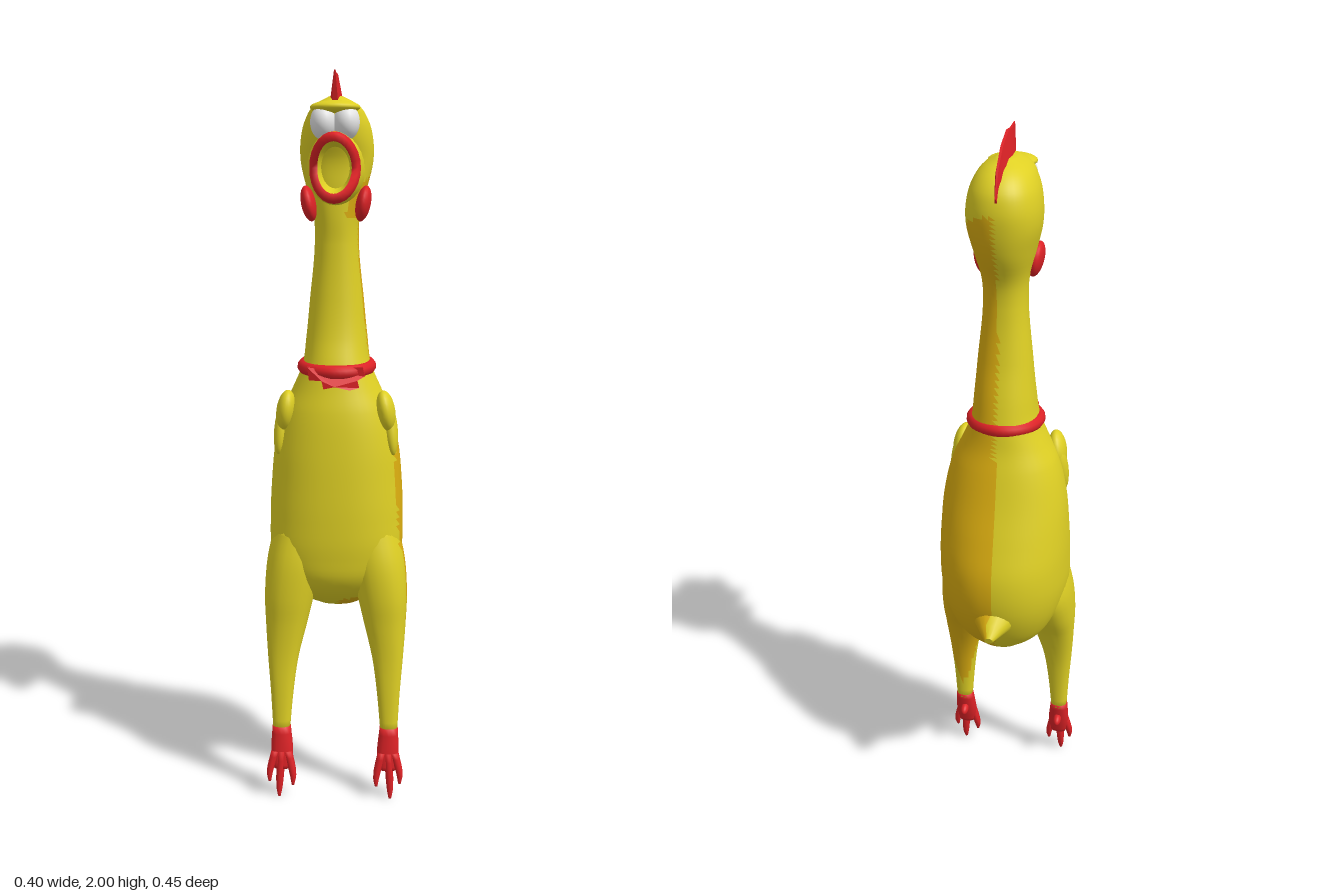
import * as THREE from 'three';
import { toCreasedNormals } from 'three/addons/utils/BufferGeometryUtils.js';

const colour = (name, hex) => {
  const m = new THREE.MeshStandardMaterial({ color: hex });
  m.name = name;
  return m;
};

// Skin a list of equal-length point rings, optionally closing both ends
function skin(rings, caps = true) {
  const n = rings[0].length, pos = [], idx = [];
  rings.flat().forEach(p => pos.push(p.x, p.y, p.z));
  for (let r = 0; r < rings.length - 1; r++) {
    for (let i = 0; i < n; i++) {
      const a = r * n + i, b = r * n + (i + 1) % n;
      idx.push(a, b, a + n, b, b + n, a + n);
    }
  }
  if (caps) {
    [0, rings.length - 1].forEach((r, end) => {
      const c = new THREE.Vector3();
      rings[r].forEach(p => c.addScaledVector(p, 1 / n));
      const k = pos.length / 3;
      pos.push(c.x, c.y, c.z);
      for (let i = 0; i < n; i++) {
        const a = r * n + i, b = r * n + (i + 1) % n;
        if (end) idx.push(a, b, k); else idx.push(b, a, k);
      }
    });
  }
  const g = new THREE.BufferGeometry();
  g.setAttribute('position', new THREE.Float32BufferAttribute(pos, 3));
  g.setIndex(idx);
  g.computeVertexNormals();
  return g;
}

// Smooth upright loft; each section is [y, centreX, halfWidth, zFront, zBack, zWidest]
function loft(sections, n = 32, steps = 4, power = 0.9) {
  const curve = new THREE.CubicInterpolant(
    sections.map(s => s[0]), sections.flatMap(s => s.slice(1)), 5, new Float32Array(5));
  const rings = [];
  const last = (sections.length - 1) * steps;
  for (let k = 0; k <= last; k++) {
    const j = Math.min(Math.floor(k / steps), sections.length - 2);
    const y = THREE.MathUtils.lerp(sections[j][0], sections[j + 1][0], k / steps - j);
    const [cx, hw, zf, zb, zc] = k === last ? sections[j + 1].slice(1) : Array.from(curve.evaluate(y));
    rings.push(Array.from({ length: n }, (_, i) => {
      const a = i / n * Math.PI * 2, s = Math.sin(a), c = Math.cos(a);
      const sx = Math.sign(s) * Math.abs(s) ** power, sz = Math.sign(c) * Math.abs(c) ** power;
      return new THREE.Vector3(cx + hw * sx, y, zc + (c > 0 ? zf - zc : zc - zb) * sz);
    }));
  }
  return skin(rings);
}

// The deeper yellow covers the back of the +x side
function isDeep(x, y, z) {
  if (x < 0.008) return false;
  if (y > 1.62) return z < 0.1 && y < 1.7 + (0.1 - z) * 0.55;
  if (y > 1.2) return z < 0.05;
  if (y > 0.95) return z < 0.1 - (y - 0.95) * 0.36;
  return z < (y > 0.62 ? 0.1 : 0.105);
}

// Sort the triangles into two material groups
function paint(g) {
  const p = g.attributes.position, src = g.index.array, lists = [[], []];
  for (let i = 0; i < src.length; i += 3) {
    const t = [src[i], src[i + 1], src[i + 2]];
    const mean = f => (f(t[0]) + f(t[1]) + f(t[2])) / 3;
    const deep = isDeep(mean(v => p.getX(v)), mean(v => p.getY(v)), mean(v => p.getZ(v)));
    lists[deep ? 1 : 0].push(...t);
  }
  g.setIndex([...lists[0], ...lists[1]]);
  g.clearGroups();
  g.addGroup(0, lists[0].length, 0);
  g.addGroup(lists[0].length, lists[1].length, 1);
  return g;
}

export function createModel() {
  const model = new THREE.Group();
  const yellow = colour('yellow', 0xdfd024);
  const deepYellow = colour('deep yellow', 0xdcae10);
  const red = colour('red', 0xdd2226);
  const white = colour('white', 0xe8e8e8);
  const skinTones = [yellow, deepYellow];

  const add = (name, geometry, material, parent = model) => {
    const m = new THREE.Mesh(geometry, material);
    m.name = name;
    parent.add(m);
    return m;
  };
  const blob = (name, material, p, r, rot = [0, 0, 0], parent = model) => {
    const m = add(name, new THREE.SphereGeometry(1, 20, 14), material, parent);
    m.position.set(...p);
    m.scale.set(...r);
    m.rotation.set(...rot);
    return m;
  };

  // Body, neck and head in one skin
  add('body', paint(loft([
    [0.53, 0, 0.06, 0.04, -0.08, -0.02],
    [0.56, 0, 0.11, 0.1, -0.11, 0],
    [0.62, 0, 0.155, 0.16, -0.15, 0.03],
    [0.7, 0, 0.182, 0.178, -0.18, 0.05],
    [0.8, 0, 0.186, 0.182, -0.185, 0.04],
    [0.9, 0, 0.182, 0.18, -0.16, 0.03],
    [1.0, 0, 0.172, 0.175, -0.13, 0.03],
    [1.1, 0, 0.148, 0.165, -0.105, 0.03],
    [1.16, 0, 0.12, 0.152, -0.09, 0.03],
    [1.22, 0, 0.095, 0.14, -0.083, 0.03],
    [1.3, 0, 0.084, 0.118, -0.07, 0.025],
    [1.4, 0, 0.074, 0.105, -0.05, 0.025],
    [1.55, 0, 0.06, 0.1, -0.037, 0.03],
    [1.62, 0, 0.062, 0.105, -0.046, 0.03],
    [1.7, 0, 0.082, 0.108, -0.085, 0.03],
    [1.77, 0, 0.098, 0.112, -0.104, 0.02],
    [1.83, 0, 0.097, 0.135, -0.107, 0.02],
    [1.88, 0, 0.083, 0.145, -0.09, 0.03],
    [1.915, 0, 0.058, 0.14, -0.05, 0.05],
    [1.935, 0, 0.022, 0.1, 0.0, 0.05],
  ], 40, 5)), skinTones);

  // Tail stub
  const tail = new THREE.CylinderGeometry(0.012, 0.075, 0.1, 16, 3);
  tail.scale(1, 1, 0.85);
  tail.rotateX(-Math.PI / 2 - 0.3);
  tail.translate(0, 0.657, -0.175);
  add('tail', paint(tail), skinTones);

  // Collar with a small front knot
  const loop = Array.from({ length: 24 }, (_, i) => {
    const a = i / 24 * Math.PI * 2;
    return new THREE.Vector3(0.09 * Math.sin(a), 1.217 - 0.006 * Math.cos(a), 0.034 + 0.106 * Math.cos(a));
  });
  const collar = new THREE.TubeGeometry(new THREE.CatmullRomCurve3(loop, true), 48, 0.019, 10, true);
  add('collar', collar, red);
  const knot = new THREE.Shape([[-0.075, 1.225], [-0.07, 1.19], [-0.035, 1.19], [-0.03, 1.168], [0.0, 1.175],
    [0.04, 1.165], [0.065, 1.17], [0.06, 1.19], [0.08, 1.2], [0.075, 1.225]].map(p => new THREE.Vector2(...p)));
  const knotGeo = new THREE.ExtrudeGeometry(knot, { depth: 0.02, bevelEnabled: false });
  const kp = knotGeo.attributes.position;
  for (let i = 0; i < kp.count; i++) kp.setZ(i, kp.getZ(i) + 0.143 - 4.5 * kp.getX(i) ** 2);
  knotGeo.computeVertexNormals();
  add('collarKnot', knotGeo, red);

  // Open beak: yellow outside, red lips, yellow throat
  const mouth = (rx, ry, z0, dz) => Array.from({ length: 28 }, (_, i) => {
    const t = i / 28 * Math.PI * 2, c = Math.cos(t);
    return new THREE.Vector3(-rx * Math.sin(t), 1.75 + ry * c, z0 + dz * Math.abs(c) ** 1.2);
  });
  const back = mouth(0.08, 0.098, 0.06, 0.02), mid = mouth(0.068, 0.092, 0.122, 0.055);
  const lip = mouth(0.06, 0.085, 0.155, 0.073), inner = mouth(0.045, 0.066, 0.15, 0.058);
  const throat = mouth(0.036, 0.05, 0.09, 0);
  add('beak', skin([back, mid], false), yellow);
  add('lips', skin([mid, lip, inner], false), red);
  add('throat', skin([inner, throat], false), yellow);

  // Brow over the eyes
  blob('brow', yellow, [0, 1.905, 0.122], [0.066, 0.018, 0.058]);

  // Comb: a tapered ridge; [zBase, yBase, zTop, yTop, halfWidth]
  const comb = [
    [0.125, 1.915, 0.145, 1.998, 0.008],
    [0.085, 1.91, 0.1, 1.992, 0.017],
    [0.03, 1.915, 0.05, 1.996, 0.019],
    [-0.03, 1.895, -0.025, 1.972, 0.017],
    [-0.065, 1.865, -0.08, 1.93, 0.014],
    [-0.092, 1.83, -0.11, 1.86, 0.007],
  ].map(([zb, yb, zt, yt, w]) => [[-w, yb, zb], [-w * 0.2, yt, zt], [w * 0.2, yt, zt], [w, yb, zb]]
    .map(p => new THREE.Vector3(...p)));
  add('comb', toCreasedNormals(skin(comb), 0.6), red);

  for (const s of [1, -1]) {
    const side = s > 0 ? 'left' : 'right';
    const put = rows => rows.map(([y, x, ...rest]) => [y, x * s, ...rest]);

    blob(side + 'Eye', white, [0.03 * s, 1.867, 0.132], [0.035, 0.046, 0.044]);
    blob(side + 'Wattle', red, [0.073 * s, 1.658, 0.08], [0.02, 0.048, 0.05], [0, 0, -0.2 * s]);

    // Stubby wing with a drooping tip
    const wing = new THREE.Group();
    wing.name = side + 'Wing';
    model.add(wing);
    blob('wingShoulder', yellow, [0.137 * s, 1.1, 0.095], [0.026, 0.058, 0.046], [0.2, 0, 0.15 * s], wing);
    blob('wingTip', yellow, [0.15 * s, 1.05, 0.085], [0.02, 0.075, 0.03], [-0.2, 0, 0.1 * s], wing);

    // Leg
    add(side + 'Leg', paint(loft(put([
      [0.19, 0.152, 0.024, 0.155, 0.112, 0.135],
      [0.3, 0.15, 0.032, 0.154, 0.1, 0.13],
      [0.4, 0.147, 0.043, 0.154, 0.08, 0.12],
      [0.5, 0.138, 0.059, 0.16, 0.04, 0.1],
      [0.58, 0.13, 0.07, 0.168, -0.01, 0.09],
      [0.68, 0.115, 0.078, 0.168, -0.06, 0.07],
      [0.78, 0.1, 0.07, 0.15, -0.05, 0.05],
    ]), 24)), skinTones);

    // Foot: palm, three hanging toes and a rear spur
    const foot = new THREE.Group();
    foot.name = side + 'Foot';
    model.add(foot);
    add('palm', loft(put([
      [0.08, 0.15, 0.024, 0.168, 0.138, 0.153],
      [0.12, 0.15, 0.031, 0.166, 0.126, 0.148],
      [0.2, 0.152, 0.026, 0.158, 0.11, 0.135],
    ]), 14), red, foot);
    for (const [tipX, tipY, topX] of [[0.118, 0.035, 0.133], [0.157, 0.0, 0.151], [0.184, 0.045, 0.169]]) {
      add('toe', loft(put([
        [tipY, tipX, 0.004, 0.173, 0.162, 0.168],
        [tipY + 0.025, tipX, 0.009, 0.174, 0.15, 0.162],
        [0.13, topX, 0.012, 0.168, 0.138, 0.153],
      ]), 10), red, foot);
    }
    blob('spur', red, [0.15 * s, 0.145, 0.115], [0.012, 0.015, 0.023], [-0.3, 0, 0], foot);
  }
  return model;
}
